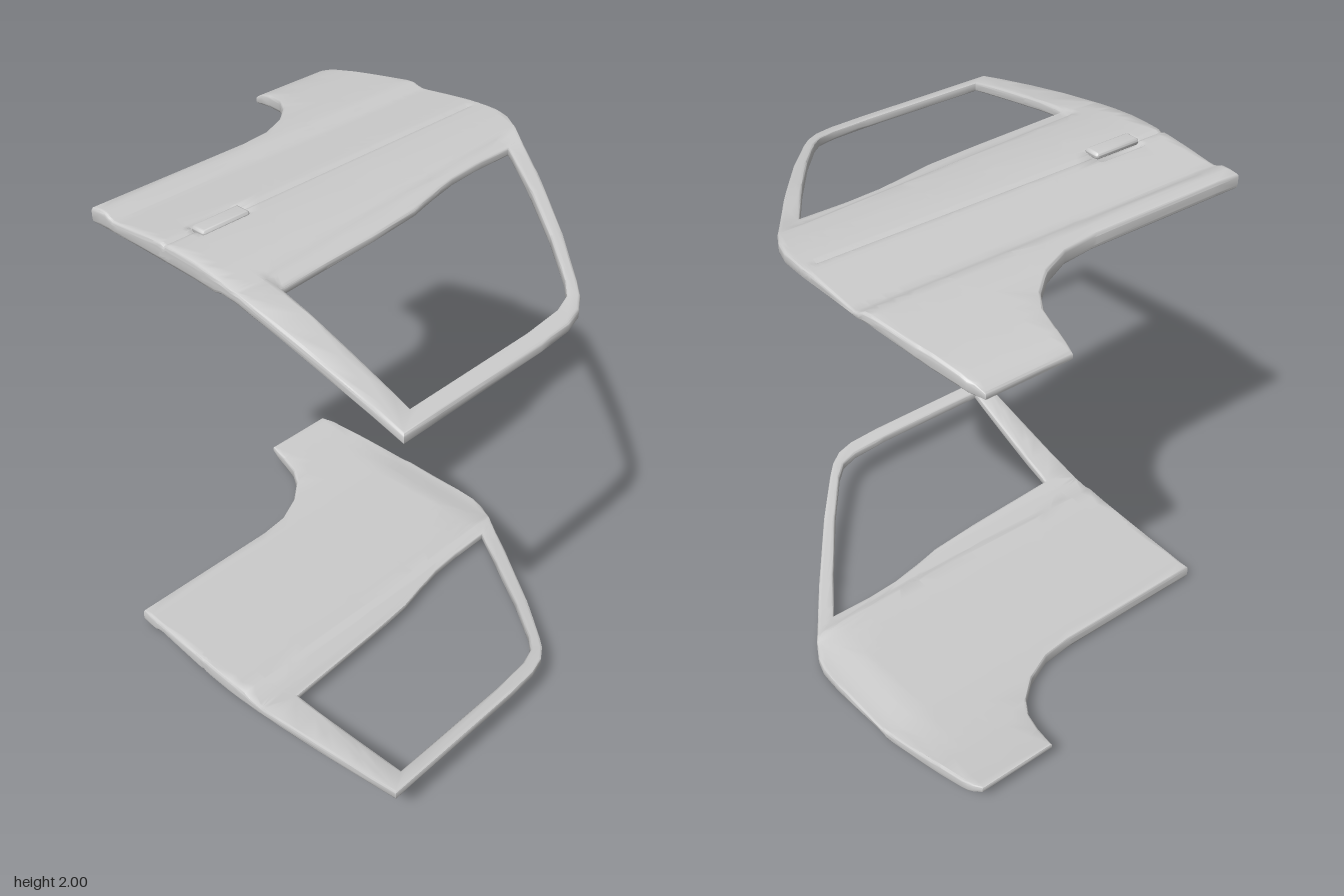
import * as THREE from 'three';
import { toCreasedNormals } from 'three/addons/utils/BufferGeometryUtils.js';
import { RoundedBoxGeometry } from 'three/addons/geometries/RoundedBoxGeometry.js';

const smooth = THREE.MathUtils.smoothstep;

// Heights across the door, as [z, y] pairs from sill to roof edge
const OUTER = [[-0.935, 1.905], [-0.9, 1.925], [-0.85, 1.94], [-0.75, 1.955], [-0.6, 1.97], [-0.5, 1.979],
  [-0.47, 1.978], [-0.45, 1.968], [-0.43, 1.962], [-0.4, 1.964], [-0.3, 1.975], [-0.2, 1.984], [-0.1, 1.988],
  [0, 1.987], [0.1, 1.977], [0.2, 1.962], [0.4, 1.928], [0.6, 1.887], [0.8, 1.842], [0.93, 1.81]];
const INNER = [[-0.935, 1.877], [-0.85, 1.89], [-0.7, 1.906], [-0.5, 1.917], [-0.3, 1.92], [0, 1.92],
  [0.1, 1.916], [0.13, 1.925], [0.2, 1.921], [0.4, 1.886], [0.6, 1.845], [0.8, 1.802], [0.93, 1.772]];

function sample(table, z) {
  if (z <= table[0][0]) return table[0][1];
  for (let i = 1; i < table.length; i++) {
    const [z0, y0] = table[i - 1], [z1, y1] = table[i];
    if (z <= z1) return y0 + (y1 - y0) * (z - z0) / (z1 - z0);
  }
  return table[table.length - 1][1];
}

// Outer skin height with belt fold, swage groove and handle recess
function outerY(x, z) {
  let y = sample(OUTER, z);
  y -= 0.007 * Math.max(0, 1 - Math.abs(z + 0.155) / 0.015) * (1 - smooth(x, 0.72, 0.76));
  const past = z + 0.077 * x - 0.135;
  y -= 0.012 * smooth(past, -0.012, 0.02) * (1 - smooth(past, 0.06, 0.3)) * smooth(x, -0.66, -0.62) * (1 - smooth(x, 0.6, 0.74));
  const inX = smooth(x, -0.64, -0.62) * (1 - smooth(x, -0.44, -0.42));
  y -= 0.012 * inX * smooth(z, -0.21, -0.185) * (1 - smooth(z, -0.13, -0.105));
  return y;
}

function innerY(x, z) {
  return sample(INNER, z) + 0.025 * smooth(x, 0.6, 0.78) * (1 - smooth(z, 0.05, 0.15)) * smooth(z, -0.8, -0.4);
}

// Split every triangle along the vertical plane a*x + b*z = c
function cut(tris, a, b, c) {
  const out = [];
  for (const t of tris) {
    const d = t.map(p => {
      const v = a * p.x + b * p.z - c;
      return Math.abs(v) < 1e-5 ? 0 : v;
    });
    if (Math.min(...d) >= 0 || Math.max(...d) <= 0) { out.push(t); continue; }
    const up = [], down = [];
    for (let i = 0; i < 3; i++) {
      const j = (i + 1) % 3;
      if (d[i] >= 0) up.push(t[i]);
      if (d[i] <= 0) down.push(t[i]);
      if (d[i] * d[j] < 0) {
        // interpolate in a fixed direction so neighbours share the same point
        const [m, n] = d[i] > 0 ? [i, j] : [j, i];
        const p = t[m].clone().lerp(t[n], d[m] / (d[m] - d[n]));
        up.push(p);
        down.push(p);
      }
    }
    for (const poly of [up, down])
      for (let k = 2; k < poly.length; k++) out.push([poly[0], poly[k - 1], poly[k]]);
  }
  return out;
}

function toTriangles(geometry) {
  const pos = (geometry.index ? geometry.toNonIndexed() : geometry).attributes.position;
  const tris = [];
  for (let i = 0; i < pos.count; i += 3)
    tris.push([0, 1, 2].map(k => new THREE.Vector3().fromBufferAttribute(pos, i + k)));
  return tris;
}

// Mirroring flips the height about y = 1 and reverses the winding
function toGeometry(tris, mirrored) {
  const pts = tris.flatMap(([a, b, c]) => mirrored ? [a, c, b] : [a, b, c])
    .map(p => new THREE.Vector3(p.x, mirrored ? 2 - p.y : p.y, p.z));
  return toCreasedNormals(new THREE.BufferGeometry().setFromPoints(pts), 0.6);
}

function panelTriangles() {
  const v = ([x, z]) => new THREE.Vector2(x, -z);
  const shape = new THREE.Shape([
    [-0.79, 0.93], [-0.15, 0.92], [0, 0.91], [0.08, 0.888], [0.14, 0.847], [0.19, 0.795], [0.35, 0.605],
    [0.56, 0.325], [0.73, 0.08], [0.765, 0.015], [0.783, -0.05], [0.785, -0.15], [0.775, -0.44], [0.735, -0.68],
    [0.695, -0.88], [0.668, -0.935], [0.34, -0.935], [0.325, -0.84], [0.305, -0.76], [0.26, -0.69],
    [0.17, -0.615], [0.05, -0.56], [-0.08, -0.545], [-0.76, -0.545]].map(v));
  shape.holes.push(new THREE.Path([
    [-0.635, 0.26], [-0.2, 0.235], [0.03, 0.215], [0.15, 0.188], [0.28, 0.163], [0.42, 0.153], [0.6, 0.153],
    [0.48, 0.335], [0.3, 0.59], [0.16, 0.765], [0.1, 0.82], [0.02, 0.845], [-0.15, 0.858], [-0.695, 0.865]].map(v)));
  // Unit-thick slab: height 0 is the inner skin, 1 the outer skin
  const slab = new THREE.ExtrudeGeometry(shape, {
    depth: 0.5, bevelEnabled: true, bevelThickness: 0.25, bevelSize: 0.01, bevelOffset: -0.01, bevelSegments: 3 });
  slab.translate(0, 0, 0.25).rotateX(-Math.PI / 2);

  let tris = toTriangles(slab);
  const zCuts = new Set([...OUTER, ...INNER].map(p => p[0]));
  for (const z of [-0.21, -0.185, -0.17, -0.155, -0.14, -0.13, -0.105, 0.05, 0.3, 0.5, 0.7]) zCuts.add(z);
  for (const z of zCuts) tris = cut(tris, 0, 1, z);
  for (const x of [-0.66, -0.64, -0.62, -0.44, -0.42, -0.1, 0.2, 0.45, 0.6, 0.66, 0.72, 0.76]) tris = cut(tris, 1, 0, x);
  for (const c of [-0.012, 0.004, 0.02, 0.06]) tris = cut(tris, 0.077, 1, 0.135 + c);
  return tris.map(t => t.map(p => {
    const low = innerY(p.x, p.z);
    return new THREE.Vector3(p.x, low + p.y * (outerY(p.x, p.z) - low), p.z);
  }));
}

export function createModel() {
  const model = new THREE.Group();
  model.name = 'doorPair';
  const material = new THREE.MeshStandardMaterial({ color: 0xcccccc });
  const panel = panelTriangles();
  const handle = toTriangles(new RoundedBoxGeometry(0.205, 0.026, 0.068, 4, 0.012).translate(-0.533, 1.987, -0.139));

  for (const mirrored of [false, true]) {
    const door = new THREE.Group();
    door.name = mirrored ? 'lowerDoor' : 'upperDoor';
    for (const [name, tris] of [['doorPanel', panel], ['doorHandle', handle]]) {
      const mesh = new THREE.Mesh(toGeometry(tris, mirrored), material);
      mesh.name = name;
      door.add(mesh);
    }
    model.add(door);
  }
  return model;
}
